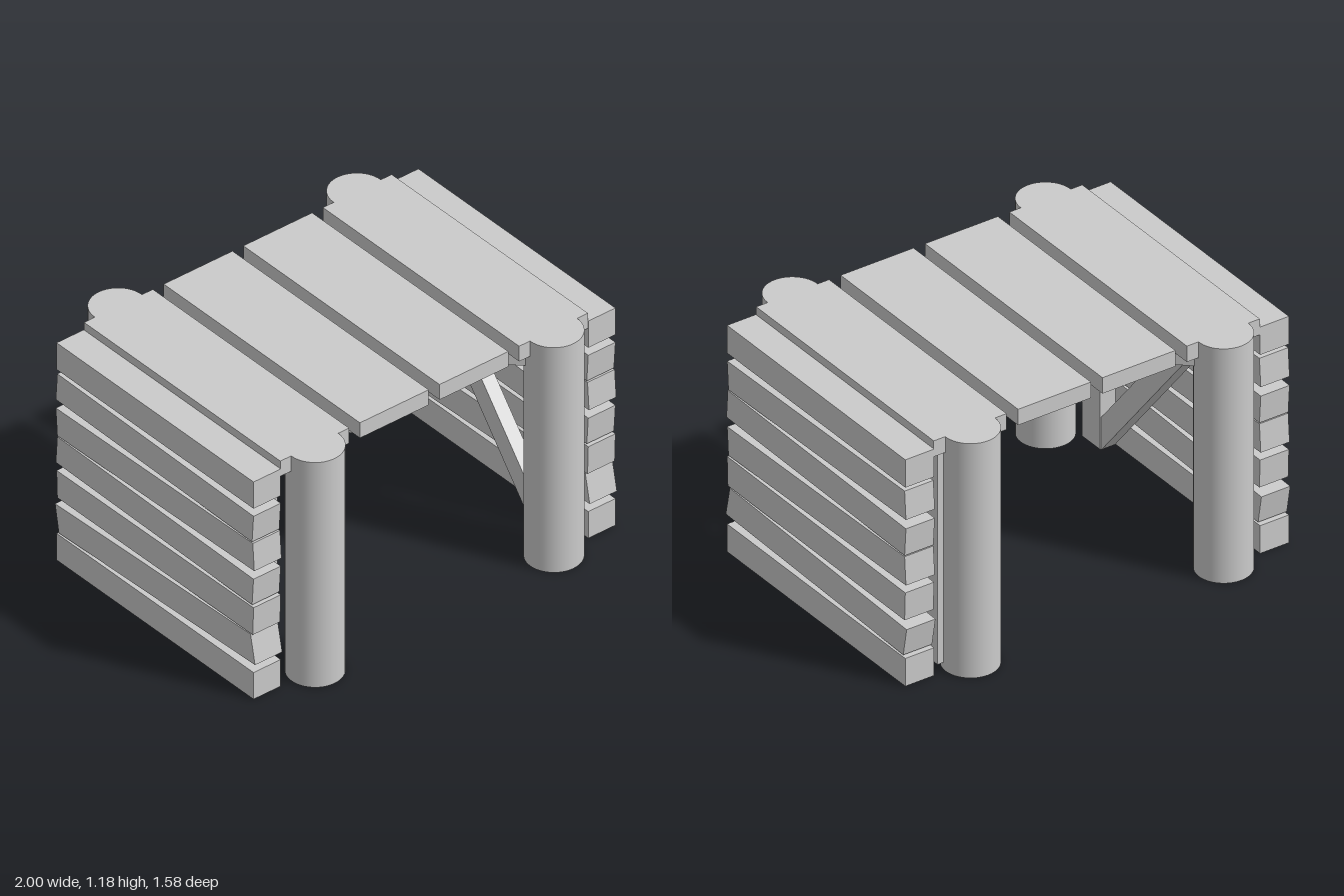
import * as THREE from 'three';

const grey = new THREE.MeshStandardMaterial({ color: 0xcccccc });

function add(parent, name, geometry, x = 0, y = 0, z = 0) {
  const mesh = new THREE.Mesh(geometry, grey);
  mesh.name = name;
  mesh.position.set(x, y, z);
  parent.add(mesh);
  return mesh;
}

// Board with a [z, y] outline, extruded along x from x0 to x1
function sideBoard(outline, x0, x1) {
  const shape = new THREE.Shape(outline.map(([z, y]) => new THREE.Vector2(-z, y)));
  const geometry = new THREE.ExtrudeGeometry(shape, { depth: x1 - x0, bevelEnabled: false });
  return geometry.rotateY(Math.PI / 2).translate(x0, 0, 0);
}

// Wall planks, each corner as [z, y]: front bottom, back bottom, back top, front top
const wallPlanks = [
  [[0.66, 0], [-0.66, 0], [-0.66, 0.14], [0.66, 0.14]],
  [[0.67, 0.185], [-0.645, 0.15], [-0.67, 0.29], [0.64, 0.33]],
  [[0.655, 0.335], [-0.655, 0.33], [-0.66, 0.47], [0.66, 0.48]],
  [[0.65, 0.49], [-0.665, 0.51], [-0.655, 0.65], [0.66, 0.63]],
  [[0.665, 0.675], [-0.655, 0.655], [-0.665, 0.795], [0.655, 0.815]],
  [[0.65, 0.82], [-0.665, 0.84], [-0.655, 0.98], [0.66, 0.96]],
  [[0.66, 1.0], [-0.66, 1.0], [-0.66, 1.14], [0.66, 1.14]],
];

// Diagonal brace from the foot of the front upright to the top of the back one
const diagonal = [[0.5, 0.035], [0.365, 0.035], [-0.505, 1.1], [-0.37, 1.1]];

export function createModel() {
  const model = new THREE.Group();
  model.name = 'woodenTable';

  for (const side of [1, -1]) {
    const half = new THREE.Group();
    half.name = side > 0 ? 'leftSide' : 'rightSide';
    model.add(half);
    const span = (a, b) => side > 0 ? [a, b] : [-b, -a];

    // Round corner posts
    for (const z of [0.66, -0.66])
      add(half, 'post', new THREE.CylinderGeometry(0.13, 0.13, 1.18, 48), side * 0.66, 0.59, z);

    // Uneven planks of the side wall
    for (const outline of wallPlanks)
      add(half, 'wallPlank', sideBoard(outline, ...span(0.85, 1)));

    // Uprights and diagonal behind the wall
    for (const z of [0.4375, -0.575])
      add(half, 'upright', new THREE.BoxGeometry(0.08, 1.065, 0.135), side * 0.78, 0.5675, z);
    add(half, 'diagonalBrace', sideBoard(diagonal, ...span(0.745, 0.815)));

    // Top planks
    for (const x of [0.22, 0.66])
      add(half, 'topPlank', new THREE.BoxGeometry(0.38, 0.08, 1.315), side * x, 1.14, 0);

    // Crossed beam below the top, slightly tilted
    const beam = add(model, 'crossBeam', new THREE.BoxGeometry(1.72, 0.07, 0.16), 0, 1.064, 0);
    beam.rotation.set(0, side * 0.755, side * 0.006);
  }
  return model;
}
